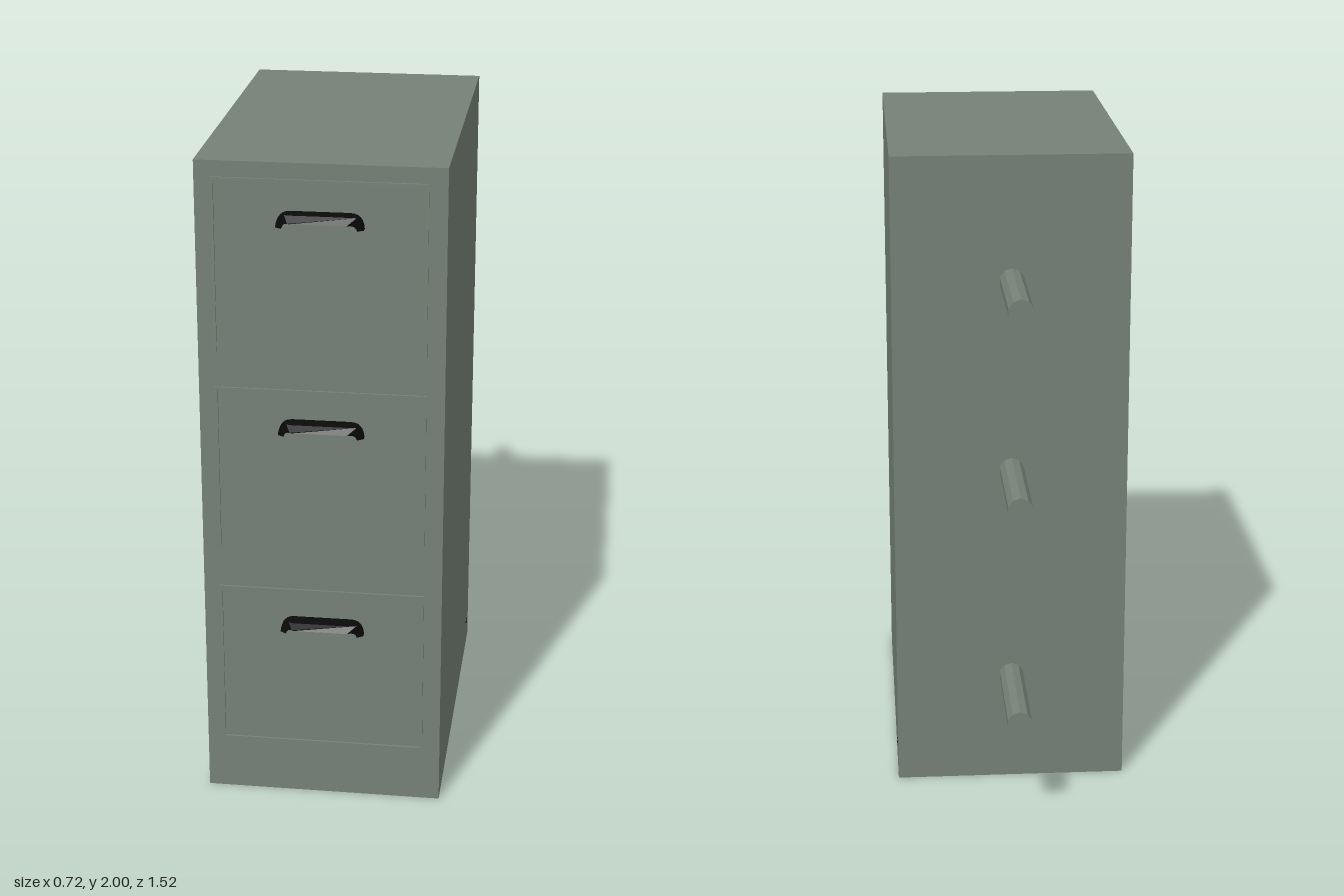
import * as THREE from 'three';

export function createModel() {
  const model = new THREE.Group();
  model.name = 'filingCabinet';
  const paint = new THREE.MeshStandardMaterial({ color: 0x758177 });
  paint.name = 'grey green paint';
  const black = new THREE.MeshStandardMaterial({ color: 0x0a0a0a });
  black.name = 'black';

  const FRONT = 0.71, BACK = -0.402;

  function add(name, geometry, material, x, y, z, parent = model) {
    const mesh = new THREE.Mesh(geometry, material);
    mesh.name = name;
    mesh.position.set(x, y, z);
    parent.add(mesh);
    return mesh;
  }

  // Cabinet body
  add('body', new THREE.BoxGeometry(0.714, 2, FRONT - BACK), paint, 0, 1, (FRONT + BACK) / 2);

  // Arched hood pull, its depth tapering towards both ends
  function handleGeometry() {
    const s = new THREE.Shape();
    s.moveTo(-0.125, -0.022);
    s.quadraticCurveTo(-0.122, 0.022, -0.085, 0.022);
    s.lineTo(0.085, 0.022);
    s.quadraticCurveTo(0.122, 0.022, 0.125, -0.022);
    s.lineTo(0.107, -0.022);
    s.quadraticCurveTo(0.103, -0.002, 0.08, -0.002);
    s.lineTo(-0.08, -0.002);
    s.quadraticCurveTo(-0.103, -0.002, -0.107, -0.022);
    s.closePath();
    const g = new THREE.ExtrudeGeometry(s, { depth: 0.05, bevelEnabled: false, curveSegments: 6 });
    const p = g.attributes.position;
    for (let i = 0; i < p.count; i++) {
      if (p.getZ(i) > 0.01) {
        p.setZ(i, 0.05 - Math.max(0, Math.abs(p.getX(i)) - 0.08) * 0.7);
      }
    }
    g.computeVertexNormals();
    return g;
  }
  const pull = handleGeometry();

  // Drawers: raised trim strips and a handle
  const W = 0.008, T = 0.006, H = 0.52;
  [0.17, 0.807, 1.433].forEach((bottom, i) => {
    const drawer = new THREE.Group();
    drawer.name = 'drawer' + (i + 1);
    model.add(drawer);
    const z = FRONT + T / 2;
    for (const x of [-0.306, 0.3]) {
      add('sideTrim', new THREE.BoxGeometry(W, H, T), paint, x, bottom + H / 2, z, drawer);
    }
    const across = new THREE.BoxGeometry(0.614, W, T);
    add('topTrim', across, paint, -0.003, bottom + H - W / 2, z, drawer);
    if (i === 0) add('bottomTrim', across, paint, -0.003, bottom + W / 2, z, drawer);
    add('handle', pull, black, 0, bottom + 0.407, FRONT, drawer);
  });

  // Rear pegs
  const peg = new THREE.CylinderGeometry(0.038, 0.038, 0.36, 10).rotateX(Math.PI / 2).toNonIndexed();
  peg.computeVertexNormals();
  for (const y of [0.35, 1.03, 1.623]) add('rearPeg', peg, paint, -0.002, y, BACK - 0.179);

  // Small stud low on the left side
  add('sideStud', new THREE.CylinderGeometry(0.009, 0.009, 0.006, 10).rotateZ(Math.PI / 2),
    black, 0.357, 0.09, -0.315);

  return model;
}
